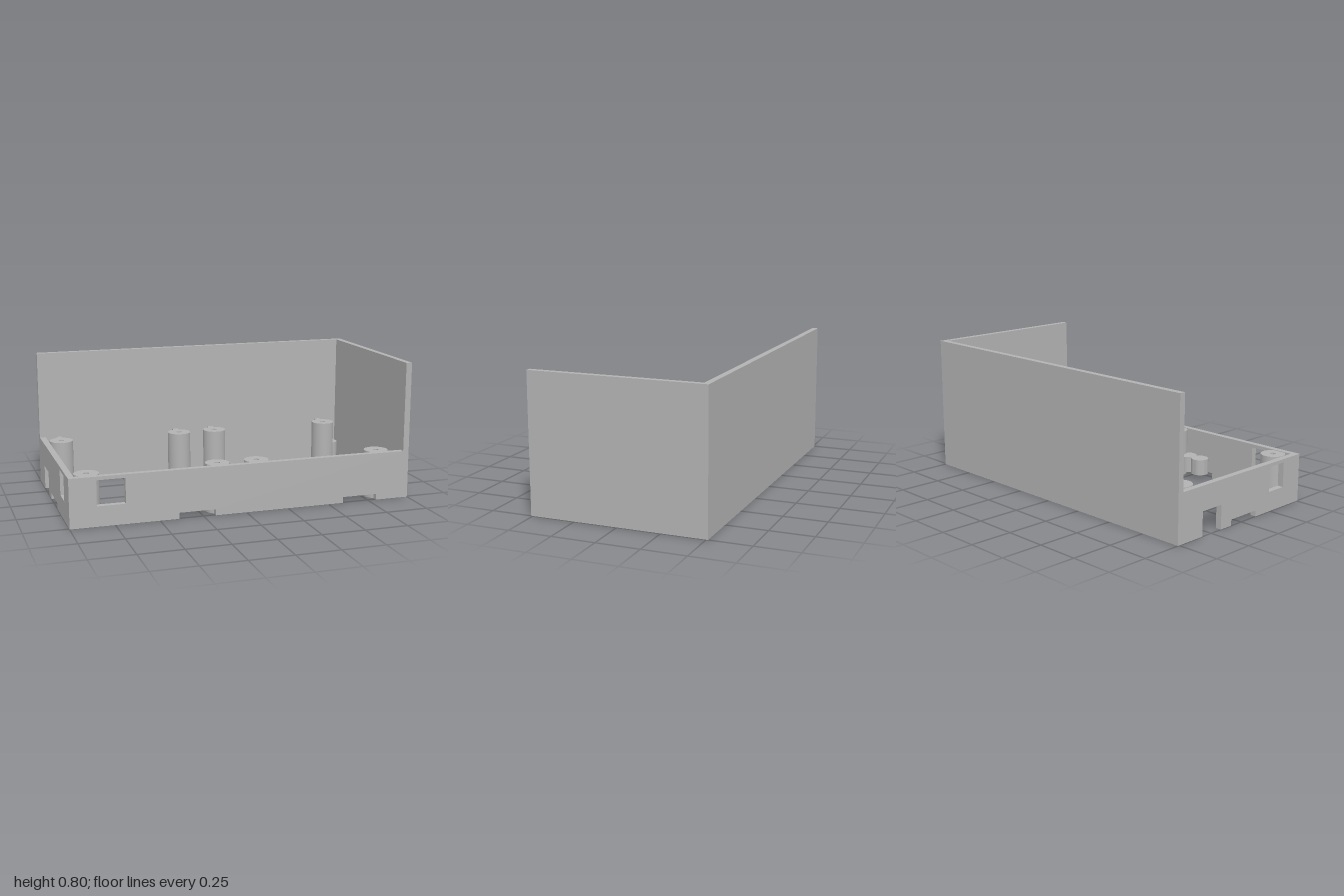
import * as THREE from 'three';
import { toCreasedNormals } from 'three/addons/utils/BufferGeometryUtils.js';

const WALL = 0.035, TALL = 0.8, LOW = 0.28, HALF_DEPTH = 0.51;

export function createModel() {
  const model = new THREE.Group();
  model.name = 'enclosure';
  const grey = new THREE.MeshStandardMaterial({ color: 0xb2b2b2 });
  grey.name = 'grey plastic';

  function add(name, geometry, x, y, z, rotY = 0) {
    const mesh = new THREE.Mesh(geometry, grey);
    mesh.name = name;
    mesh.position.set(x, y, z);
    mesh.rotation.y = rotY;
    model.add(mesh);
    return mesh;
  }

  // Low wall from u0 to u1 with notches [from, to, height] in its foot and one window
  function lowWall(u0, u1, notches, [wa, wb, wy0, wy1]) {
    const shape = new THREE.Shape();
    shape.moveTo(u0, 0);
    for (const [a, b, h] of notches) {
      shape.lineTo(a, 0).lineTo(a, h).lineTo(b, h).lineTo(b, 0);
    }
    shape.lineTo(u1, 0).lineTo(u1, LOW).lineTo(u0, LOW).closePath();
    const hole = new THREE.Path();
    hole.moveTo(wa, wy0).lineTo(wa, wy1).lineTo(wb, wy1).lineTo(wb, wy0).closePath();
    shape.holes.push(hole);
    return new THREE.ExtrudeGeometry(shape, { depth: WALL, bevelEnabled: false });
  }

  function lathe(points) {
    const profile = points.map(([r, y]) => new THREE.Vector2(r, y));
    return toCreasedNormals(new THREE.LatheGeometry(profile, 36), 0.6);
  }

  // Tall back and side walls
  add('backWall', new THREE.BoxGeometry(2, TALL, WALL), 0, TALL / 2, -HALF_DEPTH + WALL / 2);
  const sideDepth = 2 * HALF_DEPTH - WALL;
  add('tallSideWall', new THREE.BoxGeometry(WALL, TALL, sideDepth), 1 - WALL / 2, TALL / 2, WALL / 2);

  // Low front wall
  add('frontWall', lowWall(-1, 1 - WALL,
    [[-0.39, -0.18, 0.035], [0.59, 0.8, 0.035]],
    [-0.85, -0.69, 0.115, 0.26]), 0, 0, HALF_DEPTH - WALL);

  // Low side wall, drawn along z and turned so its outer face looks to -x
  add('lowSideWall', lowWall(-HALF_DEPTH + WALL, HALF_DEPTH - WALL,
    [[-0.32, -0.17, 0.14], [-0.085, 0.125, 0.035]],
    [0.24, 0.365, 0.115, 0.26]), -1 + WALL, 0, 0, -Math.PI / 2);

  // Screw posts with a wide bore below and a narrow hole above
  const postTop = 0.277;
  const post = lathe([[0.036, 0], [0.07, 0], [0.07, postTop], [0.016, postTop],
    [0.016, 0.2], [0.036, 0.2], [0.036, 0]]);
  const rib = new THREE.BoxGeometry(0.035, postTop, 0.08);
  for (const x of [-0.885, -0.142, 0.09, 0.835]) {
    add('frontPost', post, x, 0, 0.415);
    add('backPost', post, x, 0, -0.375);
    add('postRib', rib, x, postTop / 2, -0.45);
  }

  // Short bosses with a blind hole in the foot
  const boss = (h) => lathe([[0.014, 0], [0.052, 0], [0.052, h], [0, h]]);
  const bore = lathe([[0, 0.07], [0.014, 0.07], [0.014, 0]]);
  function addBoss(name, geometry, x, y, z) {
    add(name, geometry, x, y, z);
    add(name + 'Hole', bore, x, y, z);
  }
  const pairBoss = boss(0.095), cornerBoss = boss(0.13);
  for (const x of [-0.33, -0.237, 0.647, 0.74]) addBoss('frontBoss', pairBoss, x, 0.035, 0.425);
  for (const z of [-0.028, 0.065]) addBoss('sideBoss', pairBoss, -0.92, 0.035, z);
  for (const [x, z] of [[-0.91, -0.425], [0.905, -0.425], [0.905, 0.415]]) {
    addBoss('cornerBoss', cornerBoss, x, 0, z);
  }
  return model;
}
